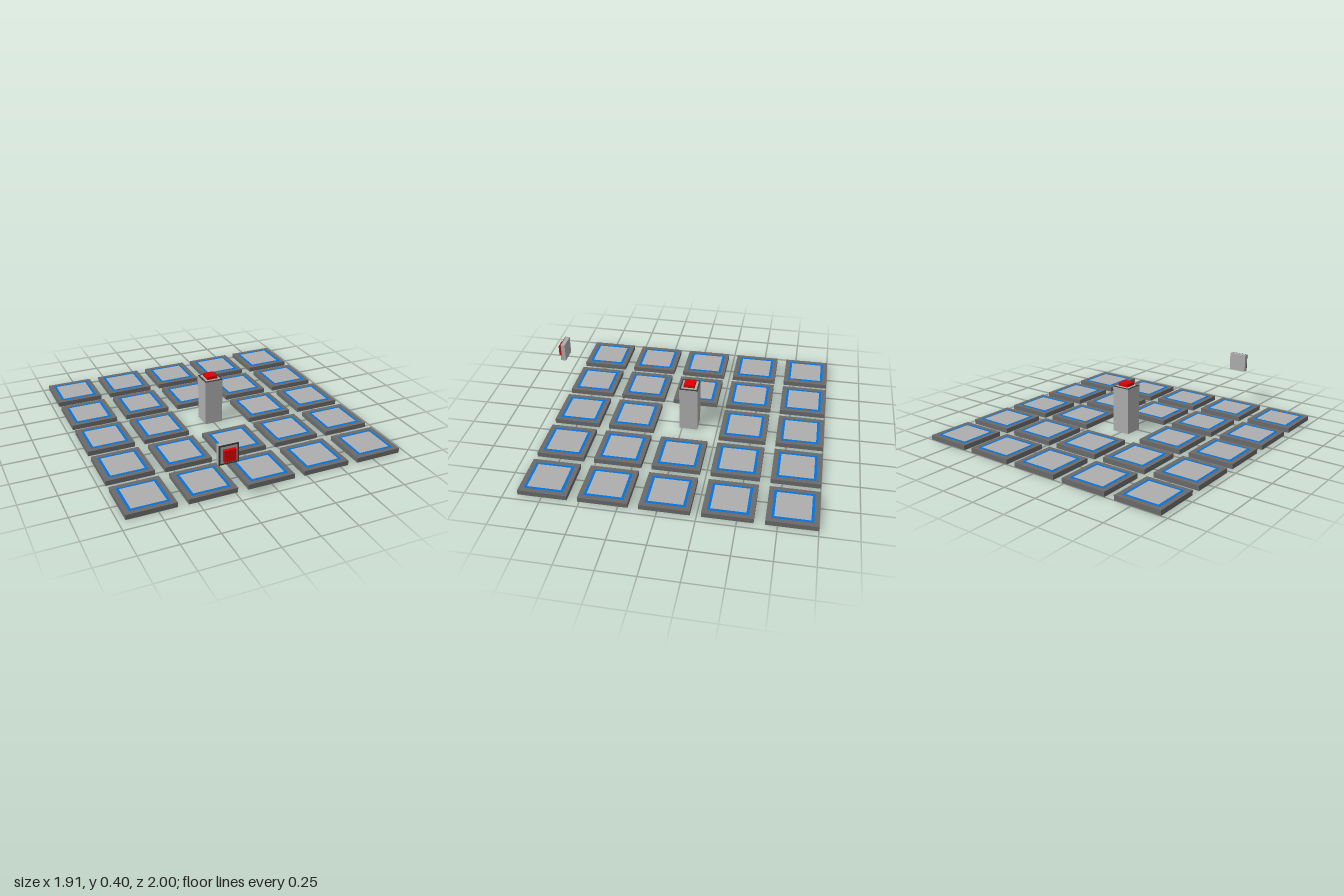
import * as THREE from 'three';

const mat = (name, color) => {
  const m = new THREE.MeshStandardMaterial({ color });
  m.name = name;
  return m;
};

function box(parent, name, material, size, pos) {
  const mesh = new THREE.Mesh(new THREE.BoxGeometry(...size), material);
  mesh.name = name;
  mesh.position.set(...pos);
  parent.add(mesh);
  return mesh;
}

export function createModel() {
  const darkGray = mat('dark gray', 0x6a6a6a);
  const lightGray = mat('light gray', 0xadadad);
  const blue = mat('blue', 0x0072e0);
  const red = mat('red', 0xe00000);
  const charcoal = mat('charcoal', 0x3a3c3e);

  const model = new THREE.Group();
  model.name = 'tileGridWithButtons';
  const pitch = 0.3957, midZ = -0.0455;

  // Floor tiles: 5 x 5 grid with the centre left open
  for (let row = -2; row <= 2; row++) {
    for (let col = -2; col <= 2; col++) {
      if (row === 0 && col === 0) continue;
      const tile = new THREE.Group();
      tile.name = 'floorTile';
      tile.position.set(col * pitch, 0, midZ + row * pitch);
      box(tile, 'tileUnderside', lightGray, [0.326, 0.001, 0.326], [0, 0.0005, 0]);
      box(tile, 'tileBase', darkGray, [0.326, 0.033, 0.326], [0, 0.0175, 0]);
      box(tile, 'tileBorder', blue, [0.26, 0.002, 0.26], [0, 0.0337, 0]);
      box(tile, 'tilePanel', lightGray, [0.226, 0.002, 0.226], [0, 0.0344, 0]);
      model.add(tile);
    }
  }

  // Button head: body of given depth ending at local y = 0, then rim, face and red button
  function button(name, depth) {
    const g = new THREE.Group();
    g.name = name;
    box(g, 'body', lightGray, [0.13, depth, 0.13], [0, -depth / 2, 0]);
    box(g, 'rim', charcoal, [0.13, 0.004, 0.13], [0, 0.002, 0]);
    box(g, 'face', lightGray, [0.11, 0.002, 0.11], [0, 0.0038, 0]);
    box(g, 'redButton', red, [0.077, 0.024, 0.077], [0, 0.015, 0]);
    model.add(g);
    return g;
  }

  // Pedestal button in the middle
  button('pedestalButton', 0.327).position.set(0, 0.327, midZ);

  // Wall button facing the front
  const wall = button('wallButton', 0.03);
  wall.rotation.x = Math.PI / 2;
  wall.position.set(-0.33, 0.33, 0.973);

  return model;
}
